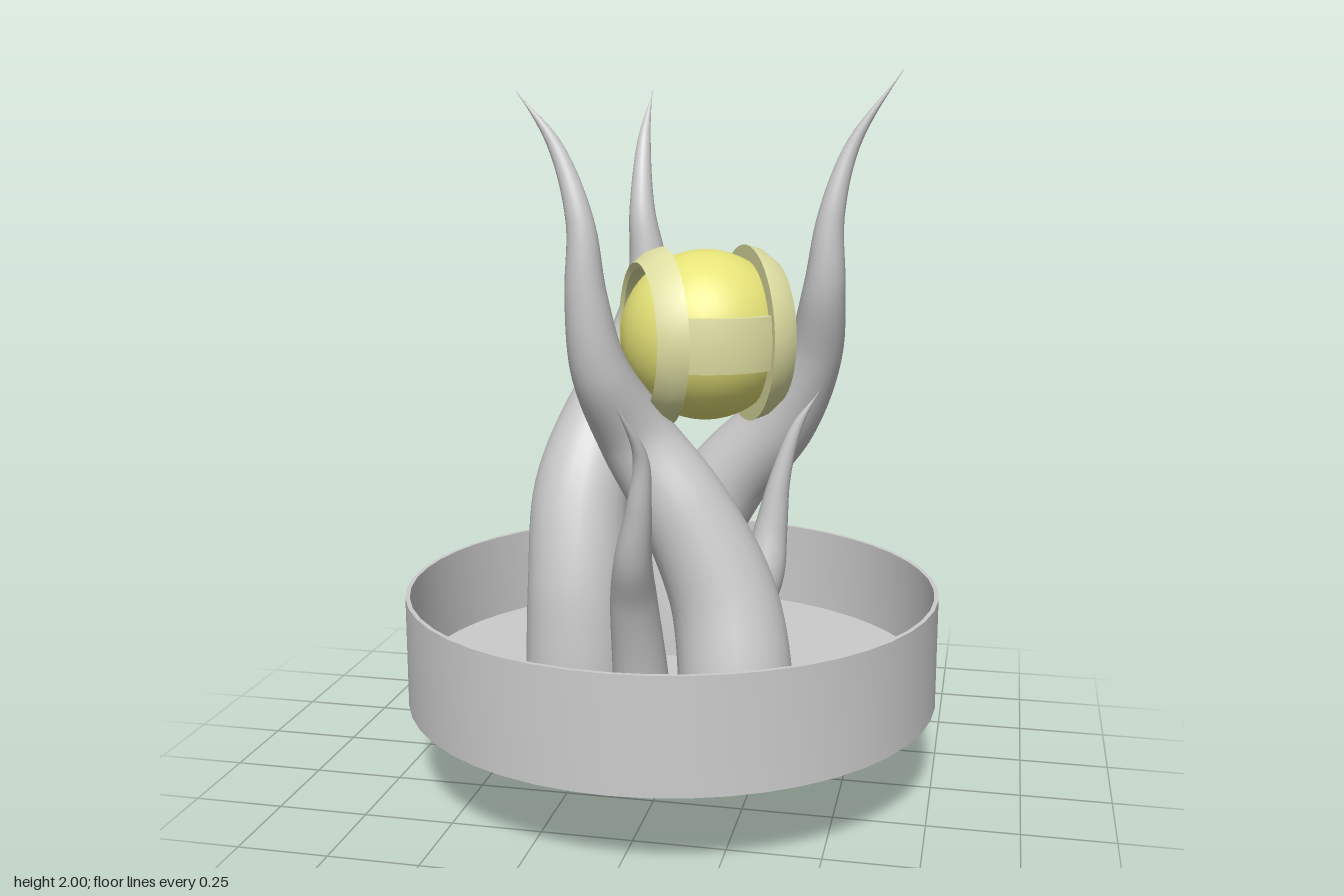
import * as THREE from 'three';
import { toCreasedNormals } from 'three/addons/utils/BufferGeometryUtils.js';

const grey = new THREE.MeshStandardMaterial({ color: 0xcccccc });
const orbYellow = new THREE.MeshStandardMaterial({ color: 0xe6e378 });
const bandYellow = new THREE.MeshStandardMaterial({ color: 0xdedea2 });

function mesh(name, geometry, material) {
  const m = new THREE.Mesh(geometry, material);
  m.name = name;
  return m;
}

// closed lathe profile with sharp edges
function turned(profile, segments, start = 0, length = Math.PI * 2) {
  const pts = profile.map(([r, y]) => new THREE.Vector2(r, y));
  return toCreasedNormals(new THREE.LatheGeometry(pts, segments, start, length), 0.5);
}

// tapering tentacle through [x, y, z, radius] stations, with a flat root
function tentacle(name, stations) {
  const path = new THREE.CatmullRomCurve3(stations.map(([x, y, z]) => new THREE.Vector3(x, y, z)));
  const widths = new THREE.SplineCurve(stations.map((s, i) => new THREE.Vector2(i, s[3])));
  const rows = 56, sides = 24;
  const geo = new THREE.TubeGeometry(path, rows, 1, sides);
  const pos = geo.attributes.position, p = new THREE.Vector3();
  for (let i = 0; i <= rows; i++) {
    const centre = path.getPointAt(i / rows);
    const r = Math.max(0.001, widths.getPoint(path.getUtoTmapping(i / rows)).y);
    for (let j = 0; j <= sides; j++) {
      const k = i * (sides + 1) + j;
      p.fromBufferAttribute(pos, k).sub(centre).multiplyScalar(r).add(centre);
      pos.setXYZ(k, p.x, p.y, p.z);
    }
  }
  const group = new THREE.Group();
  group.name = name;
  const root = mesh('rootCap', new THREE.CircleGeometry(stations[0][3], sides), grey);
  root.position.copy(path.getPointAt(0));
  root.quaternion.setFromUnitVectors(new THREE.Vector3(0, 0, 1), path.getTangentAt(0).negate());
  group.add(mesh('arm', geo, grey), root);
  return group;
}

export function createModel() {
  const model = new THREE.Group();
  model.name = 'tentacleOrbStand';

  // shallow round dish with a thin wall
  model.add(mesh('dish', turned(
    [[0, 0.245], [0.755, 0.245], [0.755, 0.56], [0.743, 0.56], [0.743, 0.305], [0, 0.305]], 48), grey));

  // large tentacles
  model.add(tentacle('backTentacle', [
    [-0.04, 0.27, -0.25, 0.15], [-0.04, 0.4, -0.255, 0.15], [-0.03, 0.56, -0.272, 0.142],
    [0.1, 0.8, -0.31, 0.125], [0.27, 1.0, -0.29, 0.107], [0.365, 1.2, -0.25, 0.083],
    [0.4, 1.4, -0.187, 0.06], [0.415, 1.6, -0.185, 0.038], [0.47, 1.8, -0.22, 0.02], [0.6, 2.0, -0.25, 0]]));
  model.add(tentacle('rightTentacle', [
    [-0.278, 0.265, 0.005, 0.155], [-0.278, 0.4, 0.003, 0.152], [-0.282, 0.56, -0.01, 0.145], [-0.285, 0.8, -0.075, 0.14],
    [-0.247, 1.0, -0.18, 0.12], [-0.175, 1.2, -0.29, 0.09], [-0.145, 1.4, -0.34, 0.062],
    [-0.168, 1.6, -0.36, 0.038], [-0.18, 1.8, -0.44, 0.02], [-0.18, 1.95, -0.56, 0]]));
  model.add(tentacle('frontTentacle', [
    [0.207, 0.243, 0.135, 0.16], [0.207, 0.35, 0.13, 0.16], [0.165, 0.56, 0.09, 0.15], [0.05, 0.8, 0.075, 0.13],
    [-0.085, 1.0, 0.075, 0.107], [-0.165, 1.2, 0.165, 0.08], [-0.195, 1.4, 0.19, 0.058],
    [-0.212, 1.6, 0.18, 0.038], [-0.29, 1.8, 0.14, 0.02], [-0.4, 1.94, 0.12, 0]]));

  // small tentacles, rooted below the dish
  model.add(tentacle('smallFrontTentacle', [
    [-0.07, 0.11, 0.085, 0.09], [-0.07, 0.3, 0.1, 0.08], [-0.07, 0.56, 0.18, 0.066],
    [-0.055, 0.7, 0.25, 0.052], [-0.03, 0.85, 0.285, 0.035], [-0.02, 1.0, 0.31, 0.02], [-0.07, 1.15, 0.385, 0]]));
  model.add(tentacle('smallLeftTentacle', [
    [0.095, 0.108, -0.085, 0.083], [0.095, 0.25, -0.085, 0.077], [0.165, 0.4, -0.1, 0.072], [0.24, 0.56, -0.12, 0.064],
    [0.262, 0.7, -0.15, 0.048], [0.285, 0.85, -0.165, 0.03], [0.33, 1.0, -0.18, 0.016], [0.39, 1.1, -0.195, 0]]));
  model.add(tentacle('smallBackTentacle', [
    [-0.117, 0.02, 0.035, 0.075], [-0.122, 0.13, 0.012, 0.073], [-0.15, 0.26, -0.07, 0.073], [-0.17, 0.4, -0.09, 0.062],
    [-0.165, 0.56, -0.1, 0.045], [-0.14, 0.7, -0.11, 0.025], [-0.12, 0.82, -0.12, 0]]));

  // orb held between the tentacles
  const orb = new THREE.Group();
  orb.name = 'orb';
  orb.position.set(0.076, 1.27, -0.09);
  orb.rotation.y = THREE.MathUtils.degToRad(28);
  orb.add(mesh('sphere', new THREE.SphereGeometry(0.24, 40, 28), orbYellow));

  for (const side of [-1, 1]) {
    // thin tapered ring around each end of the orb
    const ring = mesh('ring', turned(
      [[0.208, 0.12], [0.25, 0.12], [0.238, 0.16], [0.208, 0.198], [0.192, 0.19], [0.208, 0.12]], 48), bandYellow);
    ring.rotation.z = -side * Math.PI / 2;
    // belt plate joining the rings, front and back
    const belt = mesh('belt', turned(
      [[0.22, -0.075], [0.25, -0.075], [0.26, 0], [0.25, 0.075], [0.22, 0.075]], 16, -0.52, 1.04), bandYellow);
    belt.rotation.y = side > 0 ? 0 : Math.PI;
    orb.add(ring, belt);
  }
  model.add(orb);
  return model;
}
